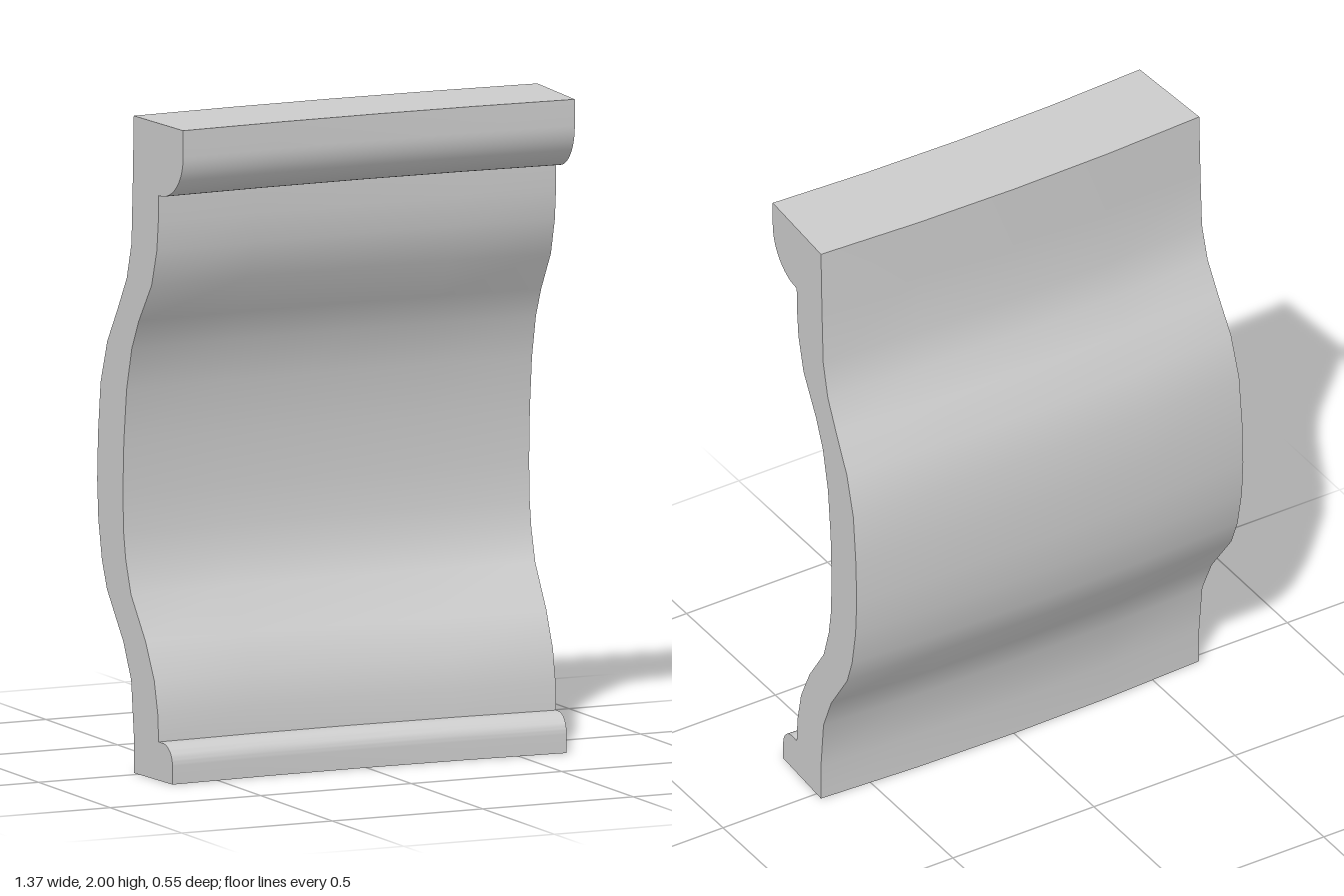
import * as THREE from 'three';
import { toCreasedNormals } from 'three/addons/utils/BufferGeometryUtils.js';

const AXIS_Z = 10.2;                               // vertical axis the moulding curves around
const SWEEP = THREE.MathUtils.degToRad(7.5);       // angle covered by this segment

// Wavy faces, listed as [depth, height]
const frontWave = [
  [0.103, 1.78], [0.101, 1.7], [0.092, 1.61], [0.06, 1.5], [-0.019, 1.38], [-0.062, 1.29],
  [-0.094, 1.16], [-0.111, 1.0], [-0.117, 0.84], [-0.112, 0.72], [-0.099, 0.64], [-0.067, 0.54],
  [0.023, 0.41], [0.076, 0.3], [0.098, 0.2], [0.103, 0.117],
];
const backWave = [
  [-0.05, 0], [-0.05, 0.12], [-0.066, 0.28], [-0.114, 0.39], [-0.215, 0.535], [-0.246, 0.62],
  [-0.268, 0.74], [-0.275, 0.86], [-0.27, 1.0], [-0.254, 1.16], [-0.213, 1.29], [-0.148, 1.4],
  [-0.093, 1.5], [-0.064, 1.61], [-0.056, 1.8], [-0.05, 2],
];

// Side section: cove-moulded top ledge, wavy panel, small foot bead
function createProfile() {
  const s = new THREE.Shape();
  s.moveTo(0.254, 2);
  s.lineTo(0.254, 1.92);
  s.absarc(0.114, 1.92, 0.14, 0, -Math.PI / 2, true);
  frontWave.forEach(([z, y]) => s.lineTo(z, y));
  s.lineTo(0.128, 0.117);
  s.absarc(0.128, 0.057, 0.06, Math.PI / 2, 0, true);
  s.lineTo(0.188, 0);
  backWave.forEach(([z, y]) => s.lineTo(z, y));
  s.closePath();
  return s;
}

// Wrap the straight extrusion around the vertical axis
function bend(geometry) {
  const p = geometry.attributes.position;
  for (let i = 0; i < p.count; i++) {
    const angle = (0.5 - p.getZ(i)) * SWEEP;
    const radius = AXIS_Z - p.getX(i);
    p.setXYZ(i, radius * Math.sin(angle), p.getY(i), AXIS_Z - radius * Math.cos(angle));
  }
  return geometry;
}

export function createModel() {
  const group = new THREE.Group();
  group.name = 'curvedMoulding';

  const geometry = bend(new THREE.ExtrudeGeometry(createProfile(), {
    depth: 1, steps: 4, bevelEnabled: false, curveSegments: 8,
  }));
  const panel = new THREE.Mesh(
    toCreasedNormals(geometry, THREE.MathUtils.degToRad(35)),
    new THREE.MeshStandardMaterial({ color: 0xcccccc }),
  );
  panel.name = 'mouldingPanel';
  group.add(panel);
  return group;
}
